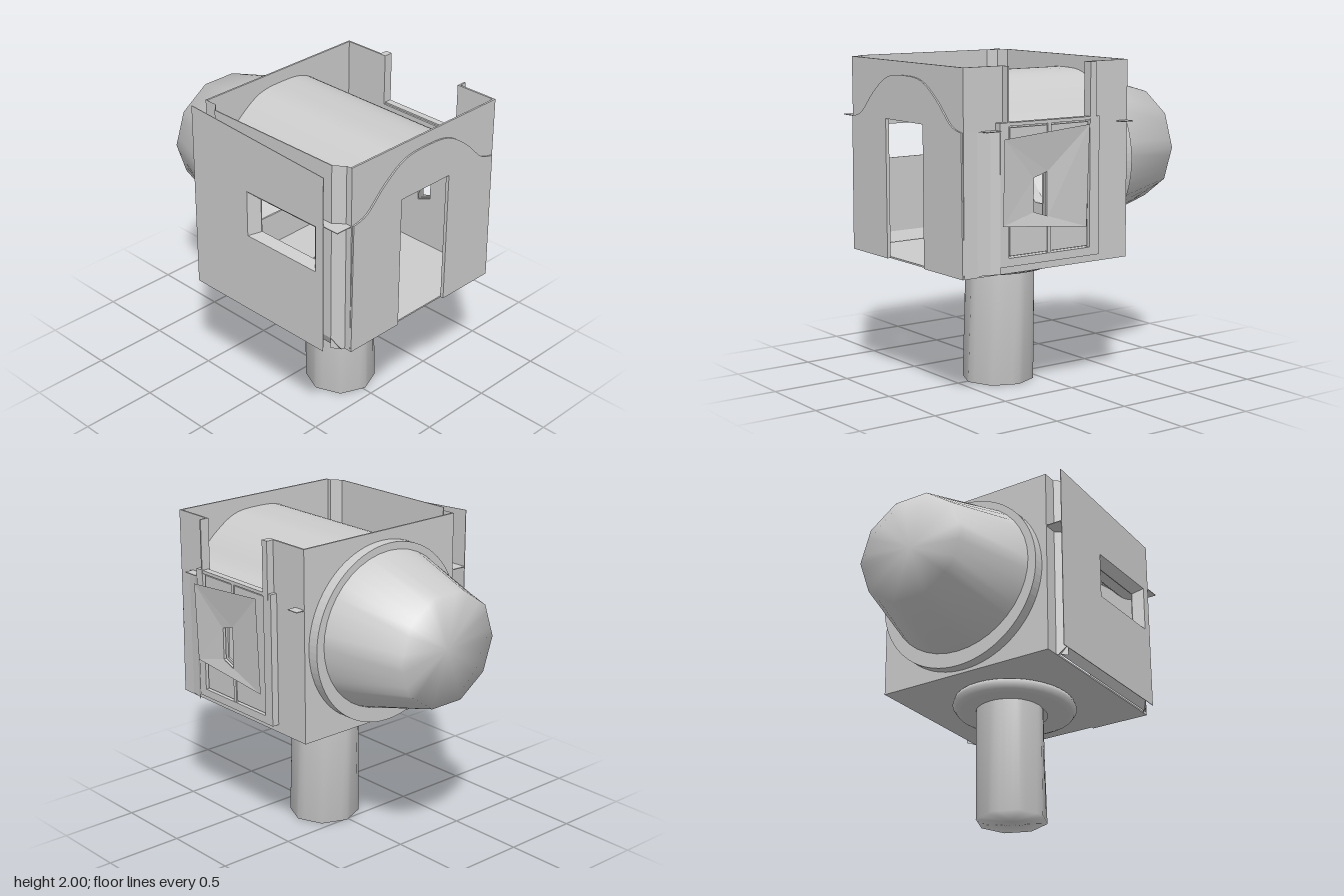
import * as THREE from 'three';
import { mergeVertices } from 'three/addons/utils/BufferGeometryUtils.js';

const CX = 0.015;
const LEFT = -0.59, RIGHT = 0.617; // main box in x
const mat = new THREE.MeshStandardMaterial({ color: 0xcccccc, side: THREE.DoubleSide });

export function createModel() {
  const group = new THREE.Group();
  const add = (name, geo) => {
    const m = new THREE.Mesh(geo, mat);
    m.name = name;
    group.add(m);
  };
  const poly = (pts) => new THREE.Shape(pts.map((p) => new THREE.Vector2(p[0], p[1])));
  const rect = (a, b, c, d) => [[a, c], [b, c], [b, d], [a, d]];
  const ellipse = (x, y, rx, ry) => new THREE.Path().absellipse(x, y, rx, ry, 0, Math.PI * 2, true)
    .getPoints(40).map((p) => [p.x, p.y]);
  const slab = (pts, holes, depth) => {
    const s = poly(pts);
    s.holes = holes.map(poly);
    return new THREE.ExtrudeGeometry(s, { depth, bevelEnabled: false });
  };
  // Wall facing the front or back, outline in x and y
  const frontWall = (name, z, pts, holes, depth) => add(name, slab(pts, holes, depth).translate(0, 0, z));
  // Wall facing sideways, outline in z and y
  const sideWall = (name, x, pts, holes, depth) => {
    const flip = (list) => list.map(([z, y]) => [-z, y]);
    add(name, slab(flip(pts), holes.map(flip), depth).rotateY(Math.PI / 2).translate(x, 0, 0));
  };
  const box = (name, x0, x1, y0, y1, z0, z1) => add(name,
    new THREE.BoxGeometry(x1 - x0, y1 - y0, z1 - z0)
      .translate((x0 + x1) / 2, (y0 + y1) / 2, (z0 + z1) / 2));
  // Thin sheet between two lines of points
  const ribbon = (name, a, b, flat) => {
    let g = new THREE.PlaneGeometry(1, 1, a.length - 1, 1);
    [...a, ...b].forEach((p, i) => g.attributes.position.setXYZ(i, ...p));
    if (flat) g = g.toNonIndexed();
    g.computeVertexNormals();
    add(name, g);
  };
  // Upright sheet following a path in x and z
  const pathWall = (name, path, y0, y1) =>
    ribbon(name, path.map(([x, z]) => [x, y1, z]), path.map(([x, z]) => [x, y0, z]), true);
  // Splayed opening between two outlines of x, y, z corners
  const funnel = (name, a, b) => ribbon(name, [...a, a[0]], [...b, b[0]], true);

  // Round and open at one end, faceted and capped at the other, smooth all over
  const facetedCone = (rRound, rFacet, length, sides) => {
    const g = new THREE.CylinderGeometry(rFacet, rRound, length, sides * 4, 1);
    const p = g.attributes.position;
    const step = (Math.PI * 2) / sides;
    for (let i = 0; i < p.count; i++) {
      const x = p.getX(i), z = p.getZ(i);
      if (p.getY(i) < 0 || Math.hypot(x, z) < 0.01) continue;
      const a = Math.atan2(z, x) + Math.PI * 2;
      const k = Math.cos(step / 2) / Math.cos((a % step) - step / 2);
      p.setX(i, x * k);
      p.setZ(i, z * k);
    }
    const idx = g.index.array, kept = [];
    for (let i = 0; i < idx.length; i += 3) {
      const tri = [idx[i], idx[i + 1], idx[i + 2]];
      if (tri.some((v) => p.getY(v) > 0)) kept.push(...tri);
    }
    g.setIndex(kept);
    g.deleteAttribute('normal');
    g.deleteAttribute('uv');
    return mergeVertices(g);
  };

  // Vault curve, used by the roof and the front facing
  const arch = new THREE.SplineCurve([[LEFT + 0.01, 1.635], [-0.47, 1.67], [-0.33, 1.8], [-0.17, 1.9], [CX, 1.92],
    [0.2, 1.9], [0.36, 1.8], [0.5, 1.67], [RIGHT - 0.01, 1.635]]
    .map((p) => new THREE.Vector2(p[0], p[1]))).getPoints(40).map((p) => [p.x, p.y]);

  // Front wall with doorway, and its facing below the arch
  const doorway = (topPts) => [[LEFT, 0.8], [-0.19, 0.8], [-0.19, 1.65], [0.215, 1.65], [0.215, 0.8],
    [RIGHT, 0.8], ...topPts];
  frontWall('frontWall', 0.858, doorway([[RIGHT, 2], [LEFT, 2]]), [], 0.012);
  frontWall('frontFacing', 0.87, doorway([...arch].reverse()), [], 0.01);

  // Back wall, opening into the apse above a raised sill
  const opening = ellipse(CX, 1.4, 0.5, 0.47).map(([x, y]) => [x, Math.max(y, 1.02)]);
  frontWall('backWall', -0.32, rect(LEFT, RIGHT, 0.8, 2), [opening], 0.012);
  frontWall('apseRing', -0.39, ellipse(CX, 1.38, 0.57, 0.56), [ellipse(CX, 1.405, 0.51, 0.475)], 0.07);

  // Tapering apse with a ten-sided end
  const apse = facetedCone(0.515, 0.375, 0.5, 10);
  apse.rotateX(-Math.PI / 2).scale(1, 0.95, 1).translate(CX, 1.405, -0.64);
  apse.computeVertexNormals();
  add('apse', apse);

  // Vaulted roof inside the walls, with its ledges outside
  ribbon('vault', arch.map(([x, y]) => [x, y, -0.31]), arch.map(([x, y]) => [x, y, 0.86]));
  box('roofLedge', -0.7, LEFT, 1.632, 1.637, -0.32, 0.87);
  box('roofLedge', RIGHT, 0.675, 1.632, 1.637, 0.65, 0.75);
  box('roofLedge', RIGHT, 0.675, 1.632, 1.637, -0.32, -0.24);

  // Window side: low centre between tall corner strips with turned-out edges
  const windowHole = [[0.41, 1.15], [0.31, 1.11], [0.31, 1.38], [0.41, 1.35]];
  sideWall('windowWall', RIGHT - 0.012, [[0.87, 0.8], [-0.32, 0.8], [-0.32, 2], [0, 2], [0, 1.67],
    [0.59, 1.67], [0.59, 2], [0.87, 2]], [windowHole], 0.012);
  box('stripEdge', RIGHT, 0.665, 1.64, 2, 0.59, 0.6);
  box('stripEdge', RIGHT, 0.665, 1.64, 2, -0.045, 0);
  pathWall('cornerFlare', [[RIGHT, 0.87], [0.622, 0.78], [0.636, 0.7], [0.662, 0.65]], 0.81, 1.635);

  // Raised window panel with a recessed field and mullions
  sideWall('windowPanel', RIGHT, rect(0.65, -0.07, 0.85, 1.68), [rect(0.59, 0, 0.9, 1.66)], 0.046);
  sideWall('windowField', 0.635, rect(0.575, 0.01, 0.91, 1.65), [windowHole], 0.018);
  box('windowMullion', 0.645, 0.66, 0.85, 1.1, 0.285, 0.31);
  box('windowMullion', 0.645, 0.66, 1.6, 1.68, 0.285, 0.31);
  funnel('windowSplay', [[0.675, 1.09, 0.64], [0.672, 1.03, 0.03], [0.697, 1.64, 0.03], [0.692, 1.59, 0.64]],
    windowHole.map(([z, y]) => [0.658, y, z]));

  // Opposite side: shallow bay in the wall with chamfered ends
  const BAY = -0.645, PANEL = -0.7;
  const slotInner = rect(0.2, 0.64, 1.345, 1.56);
  const slotOuter = rect(0.14, 0.7, 1.315, 1.61);
  sideWall('bayWall', BAY, rect(-0.18, 0.77, 0.87, 2), [slotInner], 0.006);
  pathWall('bayEnd', [[LEFT, 0.87], [LEFT, 0.83], [BAY, 0.77]], 0.8, 2);
  pathWall('bayEnd', [[BAY, -0.18], [LEFT, -0.23], [LEFT, -0.32]], 0.8, 2);
  ribbon('baySill', [[BAY, 0.87, -0.18], [BAY, 0.87, 0.77]], [[-0.61, 0.8, -0.23], [-0.61, 0.8, 0.83]], true);

  // Outer panel with a splayed slot reaching back to the bay
  sideWall('slotPanel', PANEL, [[-0.32, 0.8], [0.76, 0.8], [0.76, 1.94], [-0.32, 2]], [slotOuter], 0.004);
  funnel('slotSplay', slotOuter.map(([z, y]) => [PANEL, y, z]), slotInner.map(([z, y]) => [BAY, y, z]));

  // Floor with an opening into the shaft
  const floor = slab(rect(LEFT, RIGHT, -0.86, 0.31), [ellipse(CX, -0.21, 0.21, 0.21)], 0.01);
  add('floor', floor.rotateX(-Math.PI / 2).translate(0, 0.8, 0));

  // Rounded collar under the floor
  const collarProfile = [[0.2, 0.722], [0.33, 0.722], [0.36, 0.735], [0.38, 0.765], [0.37, 0.795], [0.33, 0.802]];
  const collar = new THREE.LatheGeometry(collarProfile.map((p) => new THREE.Vector2(p[0], p[1])), 40);
  add('collar', collar.scale(1, 1, 1.12).translate(CX, 0, 0.25));

  // Leaning shaft, faceted at the foot
  const shaft = facetedCone(0.213, 0.224, 0.8, 8);
  shaft.rotateX(Math.PI).translate(CX + 0.002, 0.4, 0.2);
  const sp = shaft.attributes.position;
  for (let i = 0; i < sp.count; i++) sp.setZ(i, sp.getZ(i) + (0.4 - sp.getY(i)) * 0.025);
  shaft.computeVertexNormals();
  add('shaft', shaft);

  return group;
}
